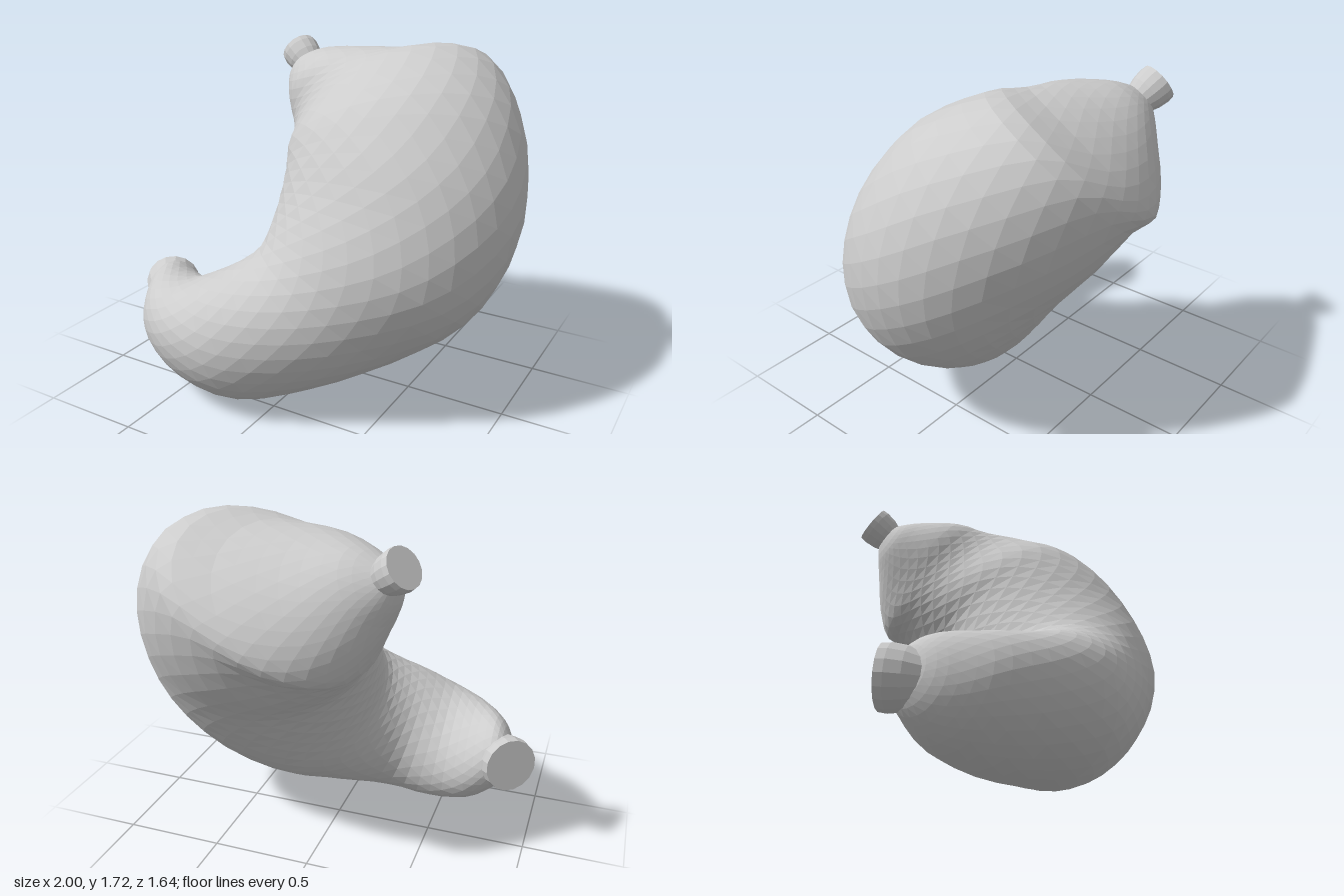
import * as THREE from 'three';

const grey = new THREE.MeshStandardMaterial({ color: 0xcccccc, flatShading: true });
grey.name = 'light grey';

// The bend lies in a tilted plane spanned by x and V; N is the plane's normal.
const V = new THREE.Vector3(0, 0.85, -0.53);
const N = new THREE.Vector3(0, 0.53, 0.85);

// Stations along the bend: inner x, inner v, outer x, outer v, depth along N, half thickness.
const stations = [
  [-0.42, 1.54, -0.42, 1.54, 0.41, 0],
  [-0.43, 1.41, -0.33, 1.57, 0.41, 0.1],
  [-0.41, 1.33, -0.18, 1.61, 0.40, 0.19],
  [-0.36, 1.22, 0.06, 1.62, 0.37, 0.33],
  [-0.32, 1.13, 0.35, 1.64, 0.34, 0.41],
  [-0.28, 1.05, 0.63, 1.65, 0.38, 0.44],
  [-0.24, 0.95, 0.87, 1.36, 0.44, 0.51],
  [-0.20, 0.85, 0.99, 0.98, 0.47, 0.52],
  [-0.19, 0.72, 0.98, 0.65, 0.47, 0.51],
  [-0.19, 0.60, 0.84, 0.33, 0.47, 0.49],
  [-0.20, 0.48, 0.54, 0.07, 0.48, 0.45],
  [-0.26, 0.39, 0.20, -0.15, 0.53, 0.40],
  [-0.36, 0.31, -0.12, -0.29, 0.57, 0.36],
  [-0.50, 0.25, -0.42, -0.28, 0.54, 0.34],
  [-0.64, 0.26, -0.66, -0.19, 0.49, 0.29],
  [-0.77, 0.30, -0.79, -0.09, 0.45, 0.2],
  [-0.84, 0.26, -0.86, 0.03, 0.42, 0.12],
  [-0.88, 0.16, -0.88, 0.16, 0.39, 0],
];

// Closed pouch lofted through elliptical sections.
function pouchGeometry(rings, sides) {
  const curve = pick => new THREE.CatmullRomCurve3(stations.map(pick), false, 'catmullrom', 0.5);
  const inner = curve(s => new THREE.Vector3(s[0], s[1], 0));
  const outer = curve(s => new THREE.Vector3(s[2], s[3], 0));
  const depth = curve(s => new THREE.Vector3(s[4], s[5], 0));
  const positions = [], index = [];
  const p = new THREE.Vector3();
  for (let i = 0; i <= rings; i++) {
    const t = i / rings;
    const a = inner.getPoint(t), b = outer.getPoint(t), d = depth.getPoint(t);
    const mid = a.clone().add(b).multiplyScalar(0.5);
    const half = b.clone().sub(a).multiplyScalar(0.5);
    for (let j = 0; j < sides; j++) {
      const angle = ((j + (i % 2) * 0.5) / sides) * Math.PI * 2;
      const c = Math.cos(angle), s = Math.sin(angle);
      p.set(mid.x + half.x * c, 0, 0)
        .addScaledVector(V, mid.y + half.y * c)
        .addScaledVector(N, d.x + Math.max(0, d.y) * s);
      positions.push(p.x, p.y, p.z);
    }
  }
  // Alternate rings are offset by half a step, so the triangles interlock.
  for (let i = 0; i < rings; i++) {
    for (let j = 0; j < sides; j++) {
      const k = (j + 1) % sides;
      const a = i * sides + j, b = i * sides + k;
      const c = (i + 1) * sides + j, d = (i + 1) * sides + k;
      if (i % 2 === 0) index.push(a, b, c, b, d, c);
      else index.push(a, b, d, a, d, c);
    }
  }
  const geometry = new THREE.BufferGeometry();
  geometry.setAttribute('position', new THREE.Float32BufferAttribute(positions, 3));
  geometry.setIndex(index);
  geometry.computeVertexNormals();
  return geometry;
}

// Short flared pipe, closed at both ends, whose outer end sits at the given point.
function stub(name, end, axis, radius, length) {
  const profile = [
    [0, -length], [radius * 0.7, -length], [radius * 0.93, -length * 0.55],
    [radius, -length * 0.2], [radius * 0.97, 0], [0, 0],
  ].map(q => new THREE.Vector2(...q));
  const mesh = new THREE.Mesh(new THREE.LatheGeometry(profile, 16), grey);
  mesh.name = name;
  mesh.position.set(...end);
  mesh.quaternion.setFromUnitVectors(
    new THREE.Vector3(0, 1, 0), new THREE.Vector3(...axis).normalize());
  return mesh;
}

export function createModel() {
  const model = new THREE.Group();
  model.name = 'curvedPouch';
  const body = new THREE.Mesh(pouchGeometry(51, 26), grey);
  body.name = 'body';
  model.add(
    body,
    stub('upperInlet', [-0.455, 1.575, -0.5], [-0.75, 0.55, -0.35], 0.1, 0.15),
    stub('lowerOutlet', [-0.885, 0.345, 0.17], [-0.6, 0.1, -0.8], 0.145, 0.2),
  );
  return model;
}
